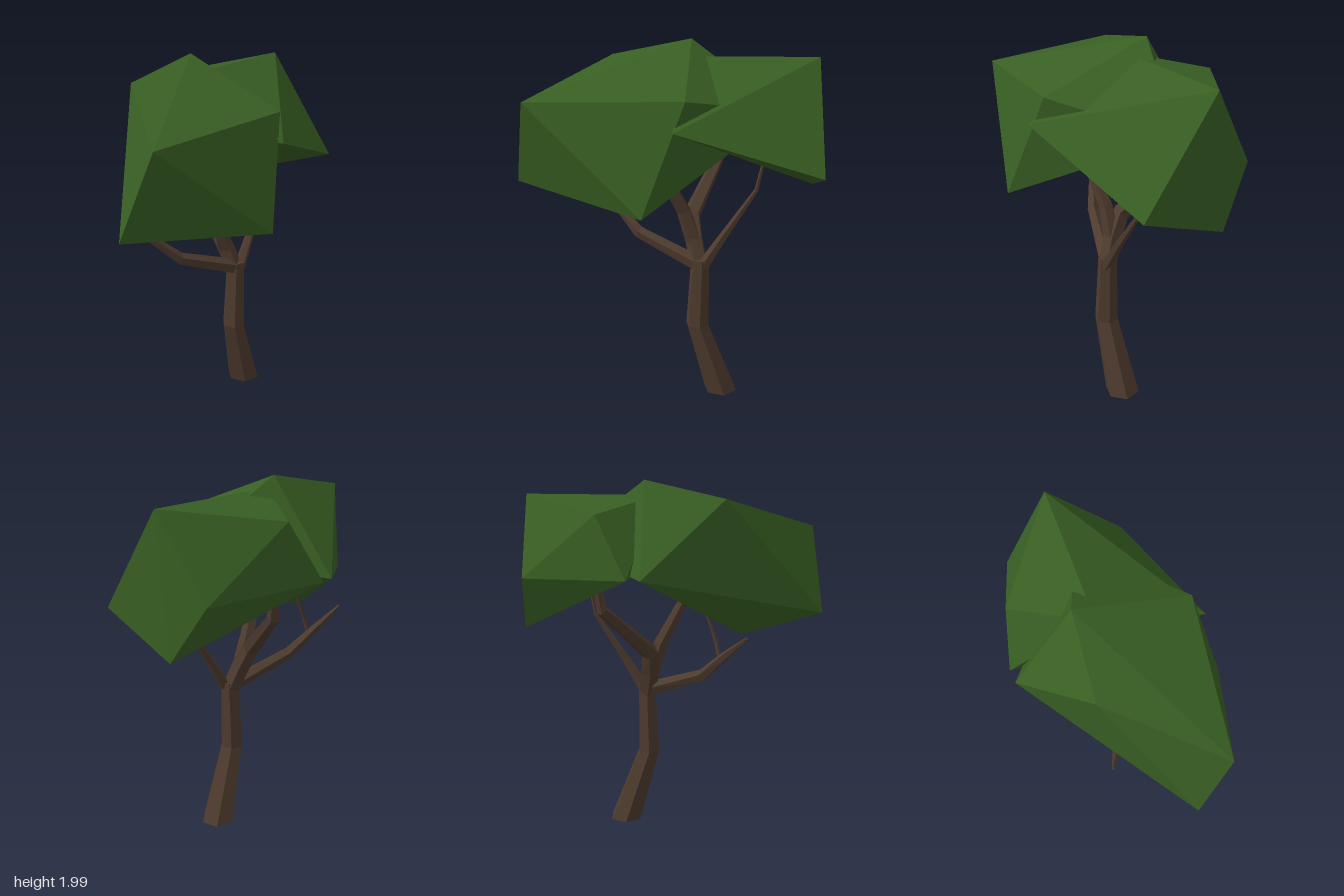
import * as THREE from 'three';
import { ConvexGeometry } from 'three/addons/geometries/ConvexGeometry.js';

// Faceted tapering limb through points [x, y, z, radius]
function limbGeometry(points, sides, levelRings = false) {
  const centres = points.map(([x, y, z]) => new THREE.Vector3(x, y, z));
  const last = points.length - 1;
  const rings = centres.map((c, i) => {
    const t = levelRings
      ? new THREE.Vector3(0, 1, 0)
      : centres[Math.min(i + 1, last)].clone().sub(centres[Math.max(i - 1, 0)]).normalize();
    const u = new THREE.Vector3(0, 0, 1).cross(t).normalize();
    const v = t.clone().cross(u);
    return Array.from({ length: sides }, (_, j) => {
      const a = (j / sides) * Math.PI * 2;
      return c.clone()
        .addScaledVector(u, Math.cos(a) * points[i][3])
        .addScaledVector(v, Math.sin(a) * points[i][3]);
    });
  });
  const corners = [];
  for (let j = 0; j < sides; j++) {
    const k = (j + 1) % sides;
    for (let i = 0; i < last; i++) {
      const [a, b] = [rings[i], rings[i + 1]];
      corners.push(a[j], a[k], b[k], a[j], b[k], b[j]);
    }
    corners.push(rings[0][k], rings[0][j], centres[0]);
    corners.push(rings[last][j], rings[last][k], centres[last]);
  }
  const geometry = new THREE.BufferGeometry().setFromPoints(corners);
  geometry.computeVertexNormals();
  return geometry;
}

export function createModel() {
  const tree = new THREE.Group();
  tree.name = 'tree';

  const bark = new THREE.MeshStandardMaterial({ color: 0x4e3b2e, flatShading: true });
  bark.name = 'bark brown';
  const leaf = new THREE.MeshStandardMaterial({ color: 0x385f23, flatShading: true });
  leaf.name = 'leaf green';

  const add = (name, geometry, material) => {
    const mesh = new THREE.Mesh(geometry, material);
    mesh.name = name;
    tree.add(mesh);
  };

  // Bent trunk
  add('trunk', limbGeometry([
    [0.14, 0.01, -0.28, 0.097],
    [0.128, 0.44, -0.14, 0.066],
    [0.13, 0.84, -0.15, 0.052],
  ], 6, true), bark);

  // Branches
  const branches = {
    mainBranch: [[0.13, 0.78, -0.15, 0.05], [0.07, 0.93, -0.13, 0.052], [0.0, 1.06, -0.13, 0.05],
      [-0.28, 1.35, -0.37, 0.032], [-0.29, 1.48, -0.39, 0.025]],
    upperBranch: [[0.07, 0.92, -0.13, 0.05], [0.06, 1.1, -0.07, 0.04], [0.08, 1.4, 0.09, 0.025]],
    frontBranch: [[0.13, 0.81, -0.14, 0.045], [-0.07, 0.945, 0.16, 0.035],
      [-0.18, 1.08, 0.27, 0.024], [-0.275, 1.2, 0.38, 0.008]],
    frontTwig: [[-0.15, 1.05, 0.25, 0.014], [-0.13, 1.14, 0.23, 0.011], [-0.1, 1.32, 0.17, 0.007]],
    rearBranch: [[0.15, 0.8, -0.16, 0.035], [0.17, 0.98, -0.27, 0.024],
      [0.19, 1.24, -0.44, 0.012], [0.2, 1.45, -0.48, 0.007]],
  };
  for (const [name, points] of Object.entries(branches)) add(name, limbGeometry(points, 5), bark);

  // Two angular masses of foliage
  const foliage = {
    frontFoliage: [
      [-0.15, 2.0, -0.15], [-0.28, 1.91, 0.26], [0.42, 1.78, 0.0], [0.12, 1.745, 0.77],
      [-0.49, 1.53, -0.17], [-0.05, 1.29, 0.81], [0.0, 1.16, 0.38], [0.49, 1.22, 0.23],
      [0.13, 1.65, -0.6],
    ],
    rearFoliage: [
      [0.47, 1.64, 0.07], [0.48, 1.37, -0.71], [0.09, 1.92, -0.79], [-0.37, 1.84, -0.39],
      [-0.48, 1.53, -0.24], [0.02, 1.2, -0.815], [-0.18, 1.5, -0.79], [-0.07, 1.92, -0.08],
    ],
  };
  for (const [name, points] of Object.entries(foliage)) {
    add(name, new ConvexGeometry(points.map((p) => new THREE.Vector3(...p))), leaf);
  }

  return tree;
}
